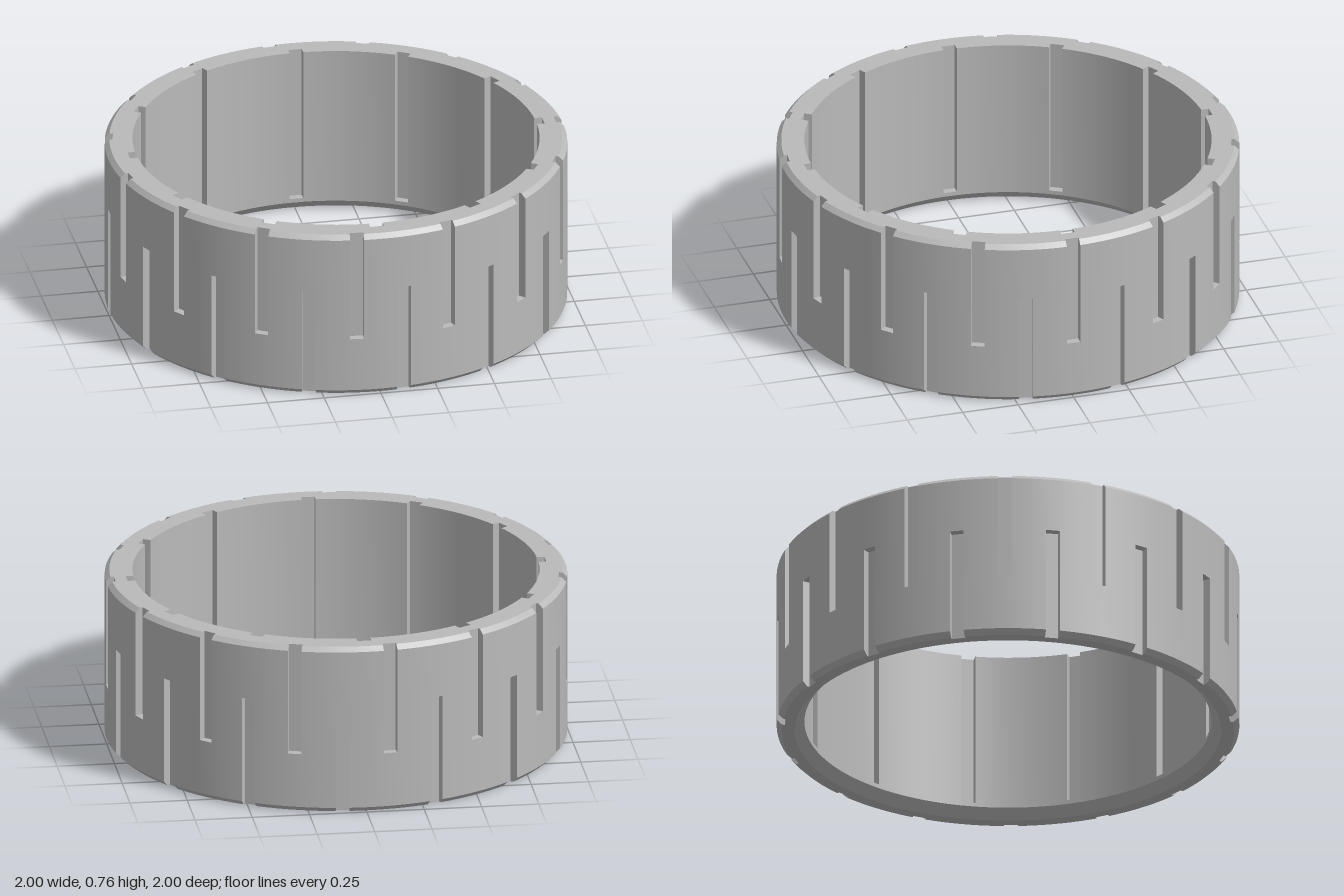
import * as THREE from 'three';
import { toCreasedNormals } from 'three/addons/utils/BufferGeometryUtils.js';

const HEIGHT = 0.757, HALF_SLOT = 0.03, ARC_STEPS = 4;

// Plan outline of a ring wall; slot i is cut to floorRadius when isCut(i) is true
function outline(count, radius, floorRadius, isCut) {
  const points = [];
  const half = Math.asin(HALF_SLOT / radius);
  const edge = Math.sqrt(radius * radius - HALF_SLOT * HALF_SLOT);
  const pitch = (Math.PI * 2) / count;
  for (let i = 0; i < count; i++) {
    const centre = i * pitch, c = Math.cos(centre), s = Math.sin(centre);
    const floor = isCut(i) ? floorRadius : edge;
    for (const [r, w] of [[edge, -1], [floor, -1], [floor, 1], [edge, 1]]) {
      const t = w * HALF_SLOT;
      points.push(new THREE.Vector2(r * c - t * s, r * s + t * c));
    }
    // plain arc up to the next slot
    const steps = ARC_STEPS * Math.round(30 / count);
    for (let k = 1; k < steps; k++) {
      const a = centre + half + (pitch - 2 * half) * (k / steps);
      points.push(new THREE.Vector2(radius * Math.cos(a), radius * Math.sin(a)));
    }
  }
  return points;
}

// Skin between successive outlines, skipping collapsed triangles
function loft(levels) {
  const positions = [];
  const tri = new THREE.Triangle();
  const add = (a, b, c) => {
    tri.set(a, b, c);
    if (tri.getArea() > 1e-8) for (const p of [a, b, c]) positions.push(p.x, p.y, p.z);
  };
  for (let j = 0; j + 1 < levels.length; j++) {
    const [lo, hi] = [levels[j], levels[j + 1]];
    const n = lo.points.length;
    const at = (level, i) => new THREE.Vector3(level.points[i % n].x, level.y, level.points[i % n].y);
    for (let i = 0; i < n; i++) {
      const a = at(lo, i), b = at(lo, i + 1), c = at(hi, i + 1), d = at(hi, i);
      add(a, d, c);
      add(a, c, b);
    }
  }
  const geometry = new THREE.BufferGeometry();
  geometry.setAttribute('position', new THREE.Float32BufferAttribute(positions, 3));
  return toCreasedNormals(geometry, 0.45);
}

// Flat annular end face between two outlines
function endFace(outer, inner, y, up) {
  const shape = new THREE.Shape(outer);
  shape.holes.push(new THREE.Path(inner));
  const geometry = new THREE.ShapeGeometry(shape);
  geometry.rotateX(up ? -Math.PI / 2 : Math.PI / 2);
  return geometry.translate(0, y, 0);
}

export function createModel() {
  const group = new THREE.Group();
  group.name = 'slottedRing';
  const metal = new THREE.MeshStandardMaterial({ color: 0xbababa });
  metal.name = 'grey metal';

  // Outer wall: 15 upper slots alternate with 15 lower slots, chamfered rims
  const upper = (i) => i % 2 === 0, lower = (i) => i % 2 === 1, both = () => true;
  const outerLevel = (y, r, cut) => ({ y, points: outline(30, r, 0.965, cut) });
  const outer = [
    outerLevel(0, 0.978, lower),
    outerLevel(0.022, 1, lower),
    outerLevel(0.265, 1, lower),
    outerLevel(0.265, 1, both),
    outerLevel(0.497, 1, both),
    outerLevel(0.497, 1, upper),
    outerLevel(HEIGHT - 0.02, 1, upper),
    outerLevel(HEIGHT, 0.98, upper),
  ];

  // Inner wall, top to bottom: 12 blind grooves, then a chamfered lower rim
  const none = () => false;
  const innerLevel = (y, r, cut) => ({ y, points: outline(12, r, 0.913, cut) });
  const inner = [
    innerLevel(HEIGHT, 0.88, both),
    innerLevel(0.06, 0.88, both),
    innerLevel(0.06, 0.88, none),
    innerLevel(0.042, 0.88, none),
    innerLevel(0, 0.922, none),
  ];

  const parts = {
    outerWall: loft(outer),
    innerWall: loft(inner),
    topFace: endFace(outer[7].points, inner[0].points, HEIGHT, true),
    bottomFace: endFace(outer[0].points, inner[4].points, 0, false),
  };
  for (const [name, geometry] of Object.entries(parts)) {
    const mesh = new THREE.Mesh(geometry, metal);
    mesh.name = name;
    group.add(mesh);
  }
  return group;
}
